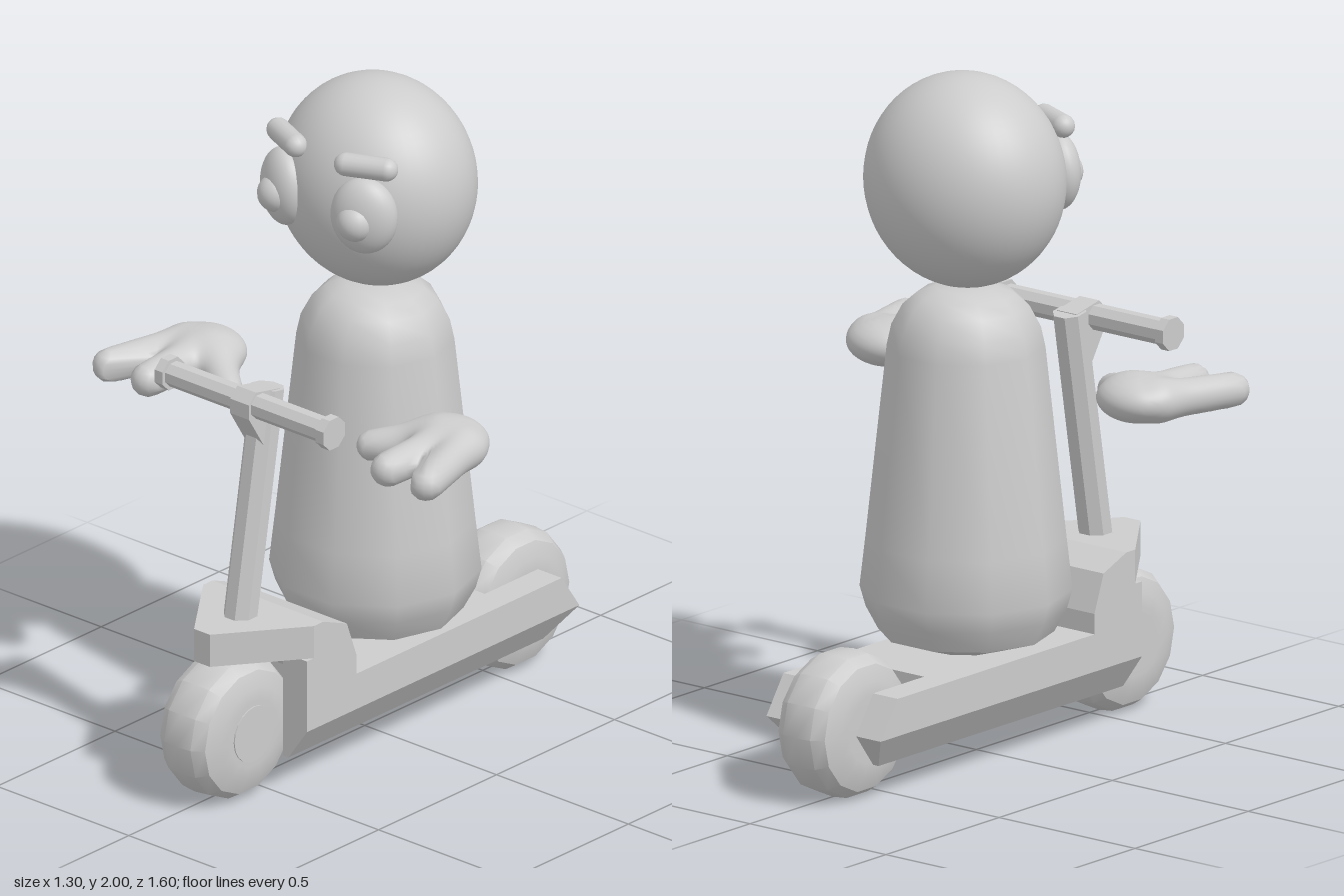
import * as THREE from 'three';
import { mergeVertices, toCreasedNormals } from 'three/addons/utils/BufferGeometryUtils.js';
import { ConvexGeometry } from 'three/addons/geometries/ConvexGeometry.js';

const V = (x, y, z) => new THREE.Vector3(x, y, z);

export function createModel() {
  const model = new THREE.Group();
  const grey = new THREE.MeshStandardMaterial({ color: 0xcccccc });
  grey.name = 'plain grey';

  function add(name, geometry, position = [0, 0, 0], parent = model) {
    const mesh = new THREE.Mesh(geometry, grey);
    mesh.name = name;
    mesh.position.set(...position);
    parent.add(mesh);
    return mesh;
  }
  const hull = (name, points, parent) => add(name, new ConvexGeometry(points), [0, 0, 0], parent);
  // Side profile of [z, y] pairs made solid between two x values
  const slab = (name, profile, x0, x1, parent) =>
    hull(name, profile.flatMap(([z, y]) => [V(x0, y, z), V(x1, y, z)]), parent);
  const flat = (g) => toCreasedNormals(g, 0.3);

  // ---- Rider ----
  const rider = new THREE.Group();
  rider.name = 'rider';
  model.add(rider);

  const bodyProfile = [[0, 0.32], [0.12, 0.322], [0.25, 0.365], [0.285, 0.43], [0.302, 0.49], [0.285, 0.64],
    [0.225, 1.2], [0.212, 1.26], [0.18, 1.32], [0.14, 1.355], [0.09, 1.375], [0, 1.38]]
    .map(([r, y]) => new THREE.Vector2(r, y));
  const body = new THREE.LatheGeometry(bodyProfile, 10, Math.PI / 10);
  add('body', toCreasedNormals(body, 0.75), [0, 0, -0.045], rider);

  add('head', new THREE.SphereGeometry(1, 48, 32), [0, 1.69, -0.05], rider).scale.set(0.3, 0.31, 0.27);

  for (const s of [-1, 1]) {
    const side = s > 0 ? 'left' : 'right';
    const eye = add(side + 'Eye', new THREE.SphereGeometry(1, 28, 20), [s * 0.152, 1.695, 0.172], rider);
    eye.scale.set(0.098, 0.115, 0.062);
    eye.rotation.y = s * 0.45;
    add(side + 'Pupil', new THREE.SphereGeometry(0.056, 20, 14), [s * 0.15, 1.685, 0.206], rider);

    const brow = add(side + 'Brow', new THREE.CapsuleGeometry(0.034, 0.12, 8, 16), [s * 0.15, 1.842, 0.162], rider);
    brow.rotation.set(0, s * 0.42, Math.PI / 2, 'YXZ');
    add(side + 'Hand', handGeometry(s), [s * 0.46, 1.085, 0.16], rider);
  }

  // ---- Scooter ----
  const scooter = new THREE.Group();
  scooter.name = 'scooter';
  model.add(scooter);

  // Deck with bevelled underside
  const deckSection = [[0.21, 0.32], [0.21, 0.21], [0.14, 0.11]];
  hull('deck', [-0.375, 0.36].flatMap((z) =>
    deckSection.flatMap(([x, y]) => [V(x, y, z), V(-x, y, z)])), scooter);

  for (const s of [-1, 1]) {
    // Rear fork arm ending in a horizontal wedge
    const arm = [[0.12, 0.32], ...deckSection, [0.12, 0.11]];
    hull('rearForkArm', [
      ...[-0.375, -0.6].flatMap((z) => arm.map(([x, y]) => V(s * x, y, z))),
      V(s * 0.12, 0.21, -0.675), V(s * 0.21, 0.21, -0.675)], scooter);
    // Front cheek beside the wheel
    const cheek = [[0.12, 0.43], [0.21, 0.43], [0.21, 0.21], [0.14, 0.11], [0.12, 0.11]];
    hull('frontCheek', [0.36, 0.48].flatMap((z) => cheek.map(([x, y]) => V(s * x, y, z))), scooter);
  }

  slab('frontStep', [[0.41, 0.53], [0.31, 0.49], [0.27, 0.38], [0.27, 0.32], [0.36, 0.32], [0.41, 0.43]],
    -0.21, 0.21, scooter);

  // Pointed plate above the front wheel
  hull('frontPlate', [0.43, 0.53].flatMap((y) => [[0.21, 0.41], [0.21, 0.45], [0.03, 0.69]]
    .flatMap(([x, z]) => [V(x, y, z), V(-x, y, z)])), scooter);

  // Wheels
  const wheelProfile = [[0, -0.1], [0.1, -0.105], [0.14, -0.102], [0.185, -0.085], [0.208, -0.05], [0.213, 0],
    [0.208, 0.05], [0.185, 0.085], [0.14, 0.102], [0.1, 0.105], [0, 0.1]]
    .map(([r, y]) => new THREE.Vector2(r, y));
  const wheelGeometry = toCreasedNormals(new THREE.LatheGeometry(wheelProfile, 14), 0.6).rotateZ(-Math.PI / 2);
  for (const [name, z] of [['frontWheel', 0.587], ['rearWheel', -0.587]])
    add(name, wheelGeometry, [0, 0.21, z], scooter);
  for (const s of [-1, 1]) {
    const hub = flat(new THREE.CylinderGeometry(0.085, 0.085, 0.012, 20)).rotateZ(Math.PI / 2);
    add('frontHub', hub, [s * 0.102, 0.21, 0.587], scooter);
  }

  // Leaning stem
  const low = V(0, 0.4, 0.548), high = V(0, 1.2, 0.412);
  const stem = add('stem', flat(new THREE.CylinderGeometry(0.05, 0.05, low.distanceTo(high), 8)
    .rotateY(Math.PI / 8)), low.clone().add(high).multiplyScalar(0.5).toArray(), scooter);
  stem.quaternion.setFromUnitVectors(V(0, 1, 0), high.clone().sub(low).normalize());

  // Handlebar, its clamp and end caps
  slab('handlebarClamp', [[0.5, 1.22], [0.53, 1.19], [0.53, 1.145], [0.465, 1.04], [0.42, 1.05], [0.4, 1.2]],
    -0.036, 0.036, scooter);
  const bar = (r, length) => flat(new THREE.CylinderGeometry(r, r, length, 8)
    .rotateY(Math.PI / 8).rotateZ(Math.PI / 2));
  add('handlebar', bar(0.038, 0.6), [0, 1.175, 0.487], scooter);
  for (const s of [-1, 1]) add('handlebarCap', bar(0.05, 0.03), [s * 0.305, 1.175, 0.487], scooter);

  return model;
}

// Soft three-fingered hand: a sphere shrunk onto a smooth blend of palm and fingers
function handGeometry(s) {
  const fingers = [ // base, tip, base radius, tip radius, relative to the palm
    [V(s * 0.07, 0, 0.02), V(s * 0.14, -0.005, 0.25), 0.055, 0.05],
    [V(0, 0, 0.02), V(s * -0.005, -0.005, 0.25), 0.055, 0.05],
    [V(s * -0.04, 0, 0.01), V(s * -0.185, -0.032, 0.115), 0.055, 0.045],
  ];
  const q = new THREE.Vector3(), axis = new THREE.Vector3();
  const blend = (a, b, k = 0.035) => {
    const h = Math.max(k - Math.abs(a - b), 0) / k;
    return Math.min(a, b) - h * h * k * 0.25;
  };
  const distance = (p) => {
    let d = (Math.hypot(p.x / 0.12, p.y / 0.068, (p.z + 0.005) / 0.105) - 1) * 0.068;
    for (const [a, b, ra, rb] of fingers) {
      axis.subVectors(b, a);
      q.subVectors(p, a);
      const t = THREE.MathUtils.clamp(q.dot(axis) / axis.lengthSq(), 0, 1);
      d = blend(d, q.addScaledVector(axis, -t).length() - THREE.MathUtils.lerp(ra, rb, t));
    }
    return d;
  };
  let g = new THREE.SphereGeometry(1, 96, 64);
  g.deleteAttribute('uv');
  g.deleteAttribute('normal');
  g = mergeVertices(g, 1e-4);
  const pos = g.attributes.position, dir = new THREE.Vector3(), p = new THREE.Vector3();
  for (let i = 0; i < pos.count; i++) {
    dir.fromBufferAttribute(pos, i).normalize();
    let t = 0.4;
    for (let n = 0; n < 150; n++) {
      const d = distance(p.copy(dir).multiplyScalar(t));
      if (d < 0.0003) break;
      t -= d * 0.9;
    }
    pos.setXYZ(i, dir.x * t, dir.y * t, dir.z * t);
  }
  g.computeVertexNormals();
  return g;
}
